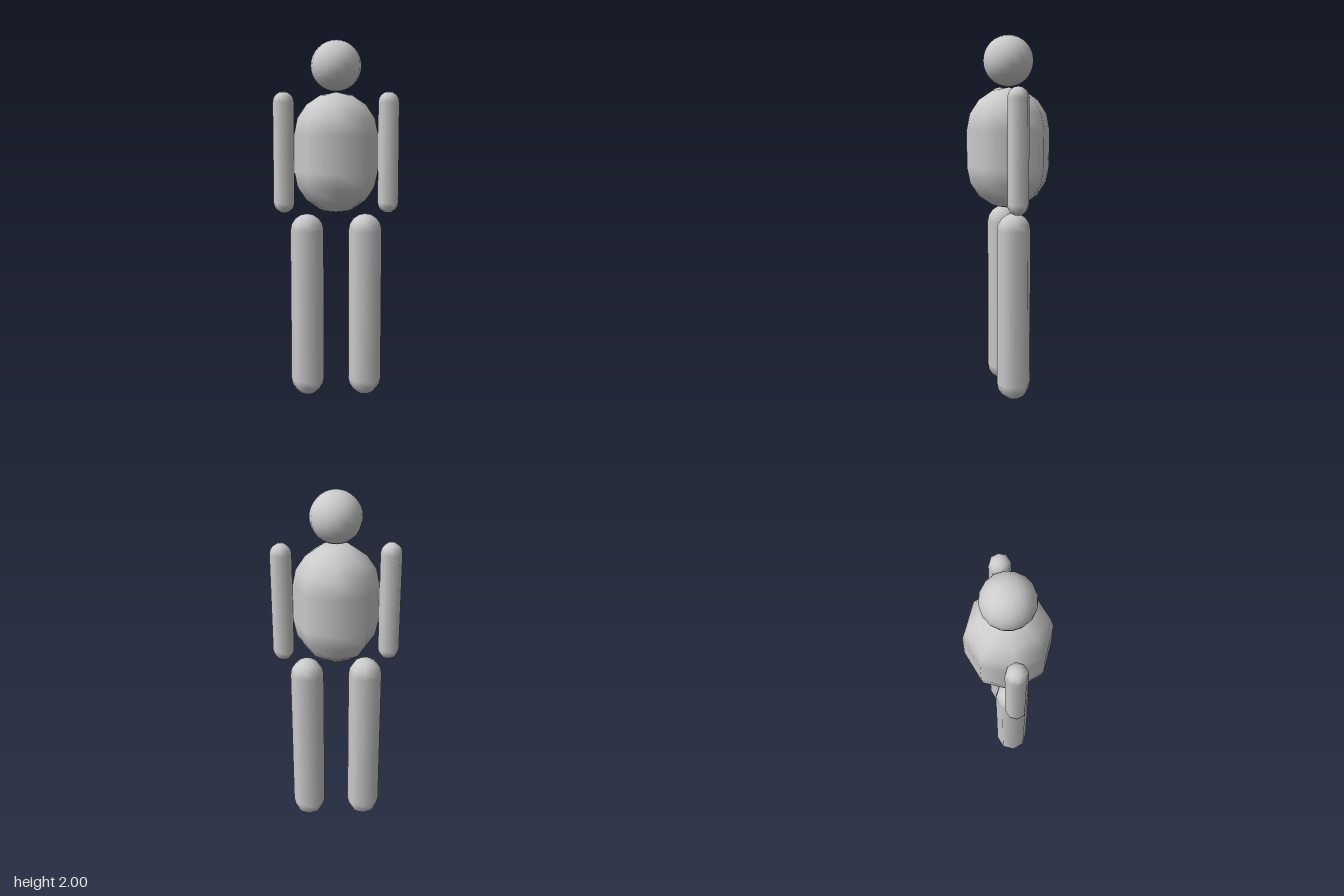
import * as THREE from 'three';

export function createModel() {
  const model = new THREE.Group();
  const material = new THREE.MeshStandardMaterial({ color: 0xcccccc });

  function add(name, geometry, x, y) {
    const mesh = new THREE.Mesh(geometry, material);
    mesh.name = name;
    mesh.position.set(x, y, 0);
    model.add(mesh);
  }

  // Eight-sided upright capsule spanning bottom to top
  function addCapsule(name, radius, x, bottom, top) {
    const length = top - bottom - 2 * radius;
    add(name, new THREE.CapsuleGeometry(radius, length, 4, 8), x, (top + bottom) / 2);
  }

  // Head and torso
  add('head', new THREE.SphereGeometry(0.139, 16, 16), 0, 1.861);
  addCapsule('torso', 0.232, 0, 1.054, 1.72);

  // Arms and legs, mirrored
  for (const [side, s] of [['left', 1], ['right', -1]]) {
    addCapsule(side + 'Arm', 0.058, s * 0.29, 1.052, 1.723);
    addCapsule(side + 'Leg', 0.093, s * 0.163, 0, 1.048);
  }

  return model;
}
